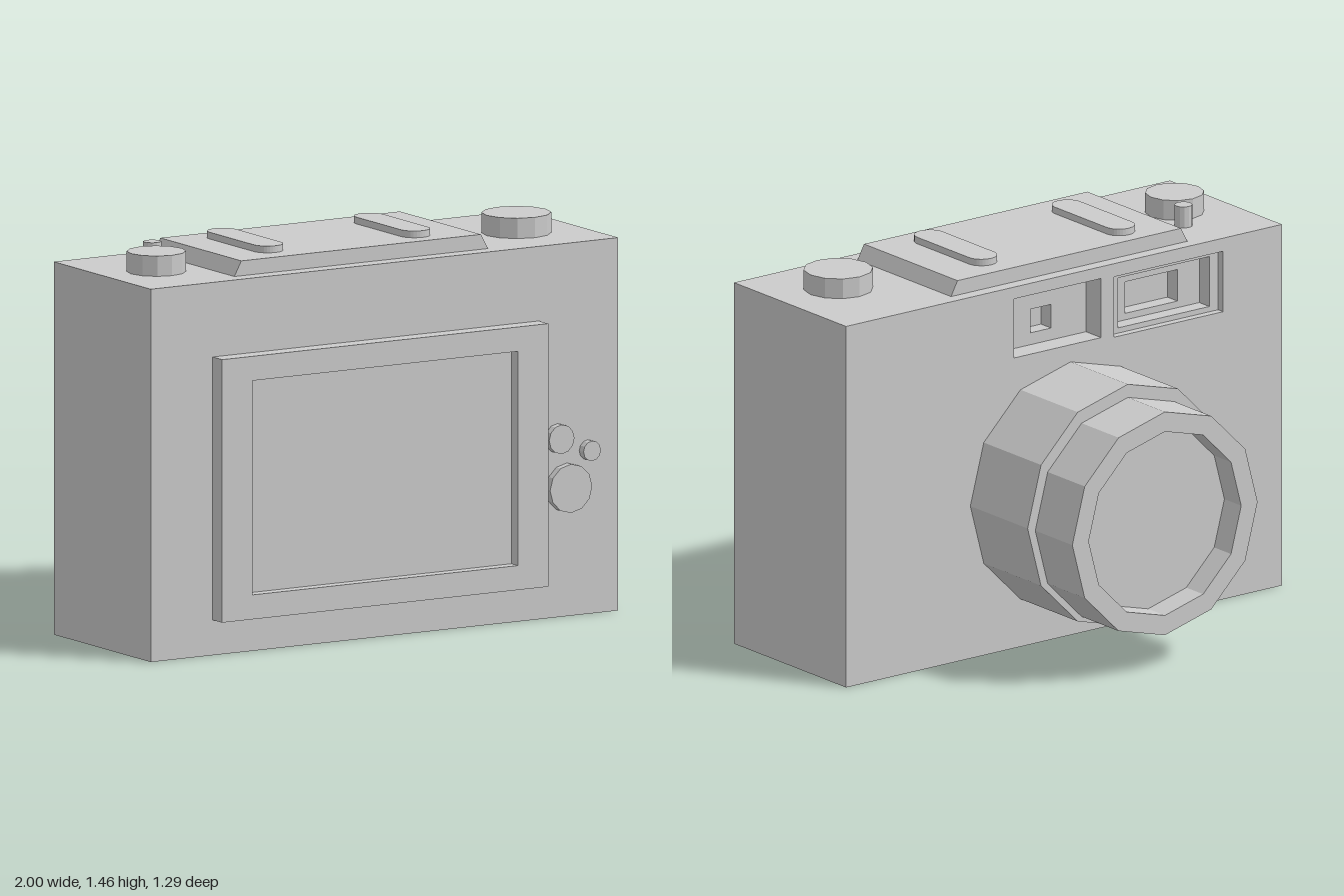
import * as THREE from 'three';

const material = new THREE.MeshStandardMaterial({ color: 0xcccccc, flatShading: true });

export function createModel() {
  const model = new THREE.Group();
  model.name = 'camera';

  const add = (name, geometry, x = 0, y = 0, z = 0) => {
    const mesh = new THREE.Mesh(geometry, material);
    mesh.name = name;
    mesh.position.set(x, y, z);
    model.add(mesh);
    return mesh;
  };

  // Closed outline of a rectangle given as [x0, y0, x1, y1]
  const corners = ([x0, y0, x1, y1]) =>
    [[x0, y0], [x1, y0], [x1, y1], [x0, y1]].map(([x, y]) => new THREE.Vector2(x, y));

  // Rectangular plate with rectangular openings, from z0 to z1
  const plate = (name, outer, holes, z0, z1) => {
    const shape = new THREE.Shape(corners(outer));
    holes.forEach((h) => shape.holes.push(new THREE.Path(corners(h).reverse())));
    add(name, new THREE.ExtrudeGeometry(shape, { depth: z1 - z0, bevelEnabled: false }), 0, 0, z0);
  };

  const disc = (r, h) => new THREE.CylinderGeometry(r, r, h, 12);

  // Body, with layered plates on the lens side that form the stepped windows
  const face = [-1, 0, 1, 1.375];
  const finder = [-0.17, 1.105, 0.23, 1.33];
  plate('body', face, [], 0.065, 0.58);
  plate('windowBackLayer', face, [[-0.01, 1.15, 0.085, 1.24], [-0.59, 1.14, -0.35, 1.26]], 0.005, 0.065);
  plate('windowMiddleLayer', face, [finder, [-0.69, 1.115, -0.27, 1.305]], -0.055, 0.005);
  plate('windowOuterLayer', face, [finder, [-0.73, 1.095, -0.23, 1.325]], -0.085, -0.055);

  // Screen and its raised frame
  const opening = [-0.605, 0.22, 0.53, 1.01];
  plate('screenFrame', [-0.735, 0.13, 0.66, 1.1], [opening], 0.58, 0.645);
  plate('screen', opening, [], 0.58, 0.6);

  // Top housing with sloped ends
  const hump = new THREE.Shape(
    [[-0.605, 1.375], [0.48, 1.375], [0.45, 1.43], [-0.575, 1.43]].map((p) => new THREE.Vector2(...p)));
  add('topHousing', new THREE.ExtrudeGeometry(hump, { depth: 0.555, bevelEnabled: false }), 0, 0, -0.035);

  // Rounded bars on the top housing
  const r = 0.0575, half = 0.21 - r;
  const bar = new THREE.Shape();
  bar.absarc(0, half, r, 0, Math.PI);
  bar.absarc(0, -half, r, Math.PI, Math.PI * 2);
  const barGeometry = new THREE.ExtrudeGeometry(bar, { depth: 0.025, bevelEnabled: false, curveSegments: 8 });
  barGeometry.rotateX(-Math.PI / 2);
  add('rightTopBar', barGeometry, -0.378, 1.43, 0.23);
  add('leftTopBar', barGeometry, 0.238, 1.43, 0.25);

  // Dials and shutter pin
  add('rightDial', disc(0.108, 0.075), -0.787, 1.4125, 0.277);
  add('leftDial', disc(0.127, 0.075), 0.742, 1.4125, 0.295);
  add('shutterPin', disc(0.033, 0.08), -0.71, 1.415, 0.125);

  // Buttons beside the screen
  [[0.74, 0.66, 0.054], [0.87, 0.605, 0.037], [0.78, 0.475, 0.09]].forEach(([x, y, radius], i) => {
    add('button' + (i + 1), disc(radius, 0.03).rotateX(Math.PI / 2), x, y, 0.595);
  });

  // Lens: turned profiles (radius, distance along the lens axis)
  const turned = (name, profile, y, z) => {
    const points = profile.map((p) => new THREE.Vector2(...p));
    add(name, new THREE.LatheGeometry(points, 12).rotateX(-Math.PI / 2), -0.03, y, z);
  };
  turned('lensBarrel', [[0.46, 0], [0.46, 0.34], [0, 0.34]], 0.58, -0.085);
  turned('lensRing', [[0.425, 0], [0.425, 0.22], [0.35, 0.22], [0.35, 0.12], [0, 0.12]], 0.565, -0.425);

  return model;
}
